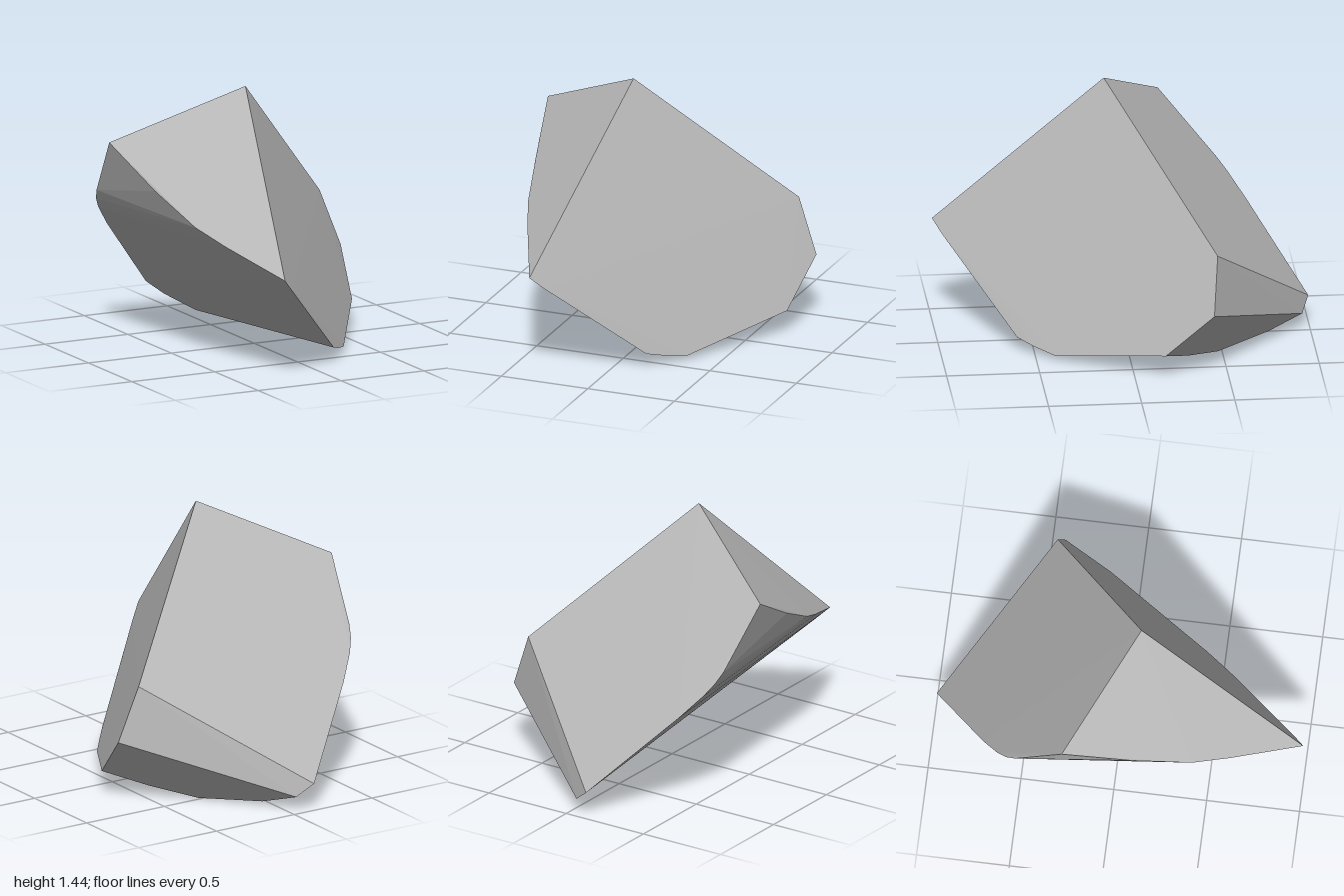
import * as THREE from 'three';
import { ConvexGeometry } from 'three/addons/geometries/ConvexGeometry.js';

// Corners of the faceted stone, grouped by the facet rim they lie on
const peak = [[-0.105, 1.443, 0.1]];
const sideRim = [ // upper left corner round to the front tip
  [-0.743, 1.13, -0.25], [-0.66, 0.93, 0.12], [-0.58, 0.785, 0.43],
  [-0.5, 0.71, 0.63], [-0.338, 0.583, 1.0],
];
const frontRim = [ // front tip along the bottom and up the other side
  [-0.27, 0.513, 0.95], [0.17, 0.08, 0.59], [0.24, 0.053, 0.51], [0.33, 0.028, 0.4],
  [0.675, 0.138, -0.16], [0.74, 0.38, -0.415], [0.628, 0.683, -0.443],
];
const backRim = [ // rounded corner down to the rear tip
  [-0.683, 0.81, -0.51], [-0.66, 0.752, -0.56], [-0.62, 0.69, -0.61],
  [-0.52, 0.57, -0.7], [-0.128, 0.15, -1.0],
];
const underRim = [ // base curve
  [-0.04, 0.08, -0.96], [0.05, 0.02, -0.77], [0.27, 0.0, -0.48], [0.475, 0.06, -0.3],
];

export function createModel() {
  const group = new THREE.Group();
  group.name = 'stone';
  const stoneGrey = new THREE.MeshStandardMaterial({ color: 0xb8b8b8 });
  stoneGrey.name = 'stone grey';

  // Flat-faced hull through all the rims
  const points = [...peak, ...sideRim, ...frontRim, ...backRim, ...underRim]
    .map((p) => new THREE.Vector3(...p));
  const body = new THREE.Mesh(new ConvexGeometry(points), stoneGrey);
  body.name = 'stoneBody';
  group.add(body);
  return group;
}
